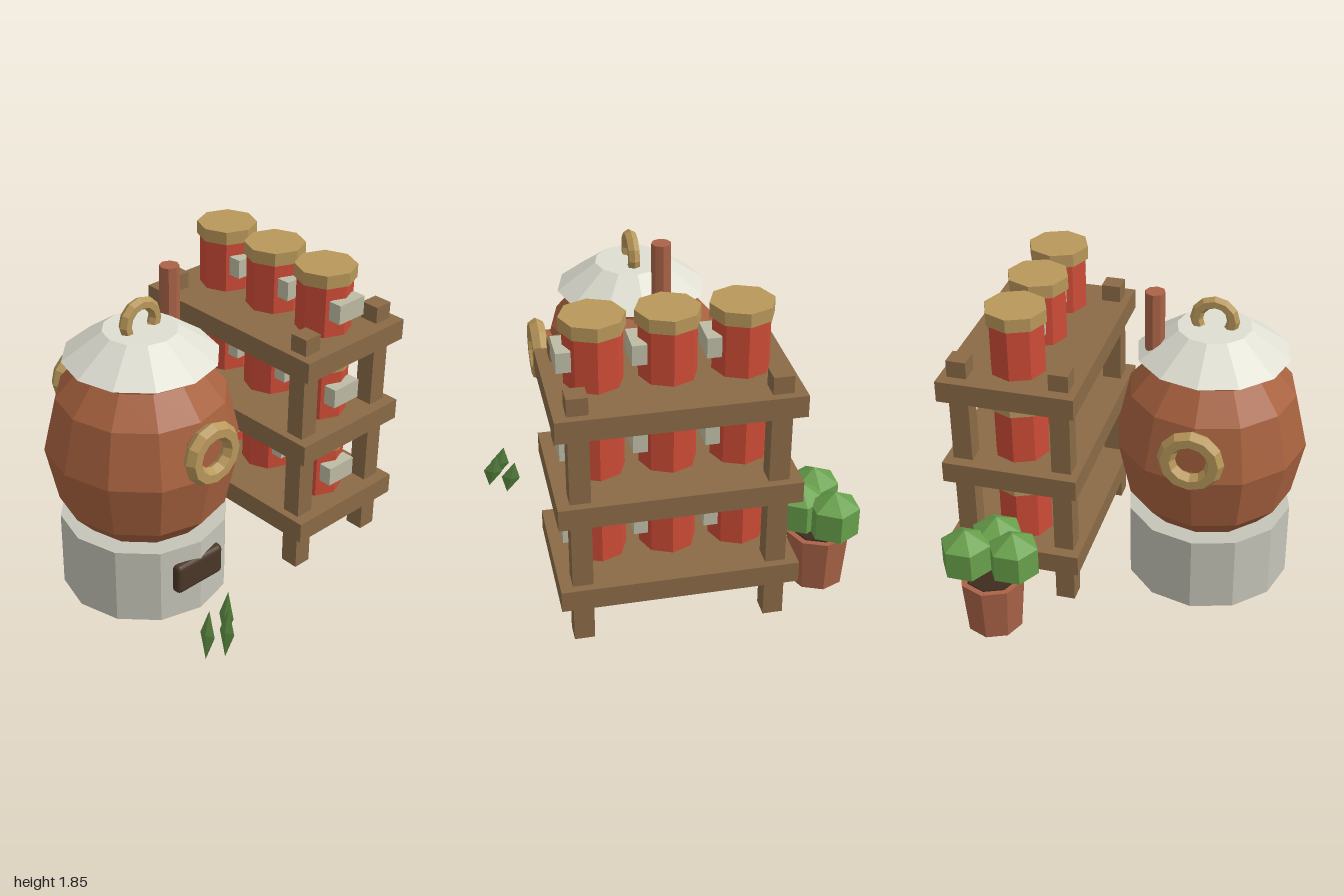
import * as THREE from 'three';
import { RoundedBoxGeometry } from 'three/addons/geometries/RoundedBoxGeometry.js';

const mat = (color) => new THREE.MeshStandardMaterial({ color, flatShading: true });
const clay = mat(0xa8623f), stone = mat(0xc4c4b8), plaster = mat(0xdeded2), brass = mat(0xb8975a);
const wood = mat(0x8a6a46), red = mat(0xcc4b36), paper = mat(0xbdbba4), iron = mat(0x4a3728);
const terracotta = mat(0xaa6348), soil = mat(0x3e2c20), leaf = mat(0x68a04b), grass = mat(0x5f8f45);

function add(parent, name, geometry, material, x = 0, y = 0, z = 0) {
  const mesh = new THREE.Mesh(geometry, material);
  mesh.name = name;
  mesh.position.set(x, y, z);
  parent.add(mesh);
  return mesh;
}

function group(parent, name, x, y, z) {
  const g = new THREE.Group();
  g.name = name;
  g.position.set(x, y, z);
  parent.add(g);
  return g;
}

const cyl = (rTop, rBottom, h, sides) => new THREE.CylinderGeometry(rTop, rBottom, h, sides);
const box = (w, h, d) => new THREE.BoxGeometry(w, h, d);

function buildOven(parent) {
  const oven = group(parent, 'oven', -0.43, 0, 0.07);
  add(oven, 'ovenBase', cyl(0.485, 0.485, 0.465, 12), stone, 0, 0.2325, 0);

  // Bulging clay body with a straight neck
  const profile = [[0, 0.46], [0.37, 0.46], [0.485, 0.59], [0.554, 0.92], [0.48, 1.24], [0.345, 1.4], [0.345, 1.47]]
    .map(([r, y]) => new THREE.Vector2(r, y));
  add(oven, 'ovenBody', new THREE.LatheGeometry(profile, 12), clay);

  // Lid, its ring handle and the chimney
  add(oven, 'lid', cyl(0.21, 0.436, 0.16, 12), plaster, 0, 1.54, 0);
  add(oven, 'lidHandle', new THREE.TorusGeometry(0.104, 0.037, 6, 12), brass, 0, 1.66, 0);
  add(oven, 'chimney', cyl(0.057, 0.057, 0.35, 8), terracotta, 0.312, 1.675, -0.115);

  // Ringed ports, front and back
  for (const side of [1, -1]) {
    add(oven, 'portRing', new THREE.TorusGeometry(0.136, 0.051, 6, 12), brass, 0, 1.09, side * 0.567);
    const disc = add(oven, 'portDisc', cyl(0.11, 0.11, 0.06, 12), clay, 0, 1.09, side * 0.505);
    disc.rotation.x = Math.PI / 2;
  }

  // Fire door
  add(oven, 'fireDoor', new RoundedBoxGeometry(0.34, 0.19, 0.09, 2, 0.03), iron, 0, 0.268, 0.445);
}

function buildJar(parent, y, z) {
  const jar = group(parent, 'jar', 0, y, z);
  add(jar, 'jarBody', cyl(0.16, 0.16, 0.32, 8), red, 0, 0.16, 0);
  add(jar, 'jarCap', cyl(0.177, 0.177, 0.078, 8), brass, 0, 0.346, 0);
  add(jar, 'jarLabel', box(0.197, 0.115, 0.08), paper, 0, 0.17, 0.168);
}

function buildRack(parent) {
  const rack = group(parent, 'rack', 0.588, 0, 0.07);
  for (const sx of [-1, 1])
    for (const sz of [-1, 1])
      add(rack, 'post', box(0.113, 1.53, 0.113), wood, sx * 0.29, 0.765, sz * 0.535);
  for (const top of [0.365, 0.897, 1.43]) {
    add(rack, 'shelf', box(0.785, 0.125, 1.32), wood, 0, top - 0.0625, 0);
    for (const i of [-1, 0, 1]) buildJar(rack, top, i * 0.396);
  }
}

function buildPlant(parent) {
  const plant = group(parent, 'pottedPlant', 0.635, 0, -0.81);
  add(plant, 'pot', cyl(0.19, 0.163, 0.33, 8), terracotta, 0, 0.165, 0);
  add(plant, 'soil', cyl(0.155, 0.155, 0.02, 8), soil, 0, 0.327, 0);
  for (const [x, z] of [[-0.135, 0], [0.13, -0.04], [0, 0.12]])
    add(plant, 'foliage', new THREE.SphereGeometry(0.168, 6, 3), leaf, x, 0.485, z);
}

function buildGrass(parent) {
  const tuft = group(parent, 'grassTuft', 0, 0, 0);
  for (const [x, z] of [[-0.69, 0.89], [-0.597, 0.945], [-0.503, 0.842]]) {
    const blade = add(tuft, 'grassBlade', new THREE.OctahedronGeometry(1), grass, x, 0.153, z);
    blade.scale.set(0.016, 0.138, 0.058);
    blade.rotation.set(-0.2, 0, -0.27);
  }
}

export function createModel() {
  const model = new THREE.Group();
  model.name = 'ovenAndRack';
  buildOven(model);
  buildRack(model);
  buildPlant(model);
  buildGrass(model);
  return model;
}
